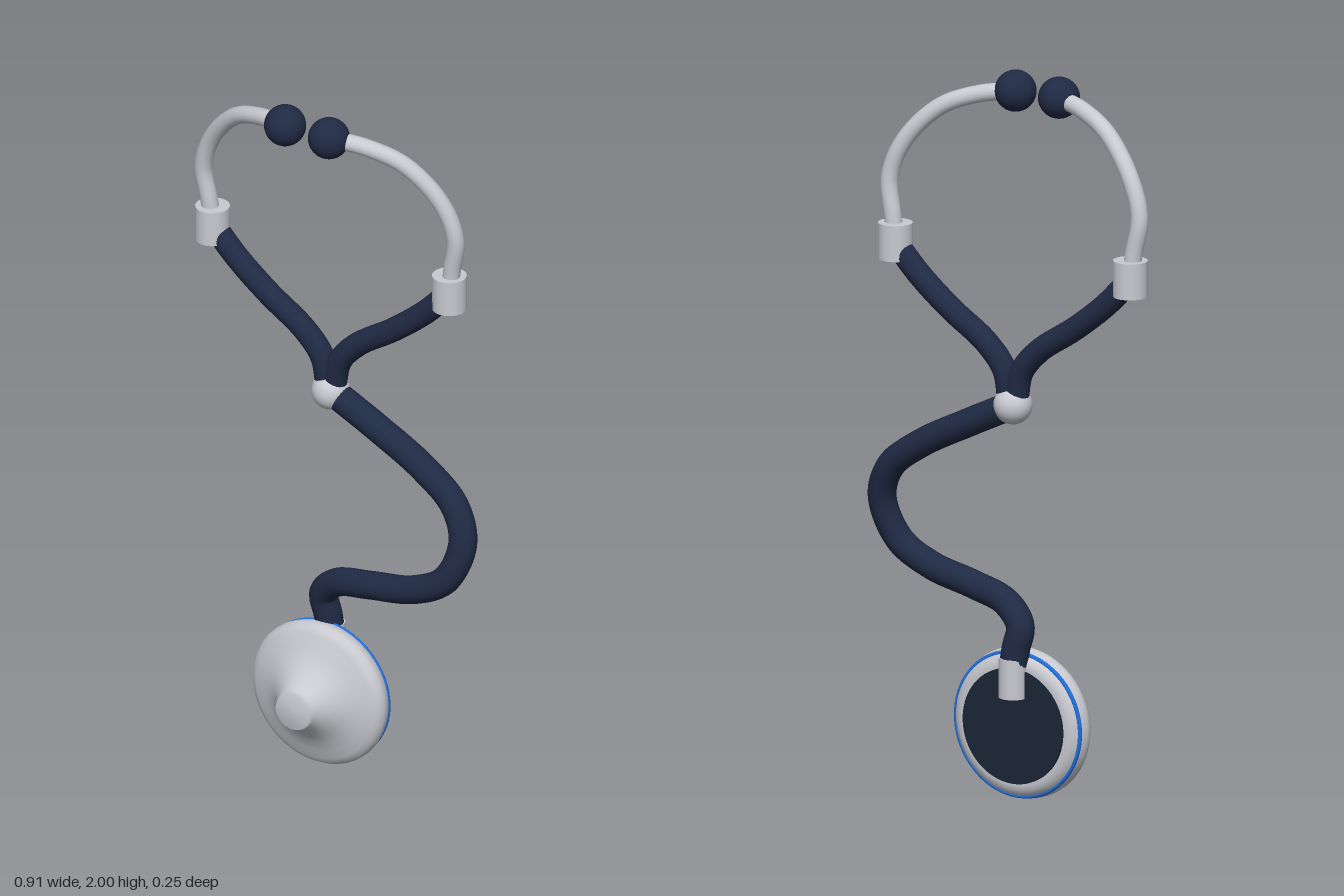
import * as THREE from 'three';

const CX = -0.03; // symmetry plane of the instrument
const BACK = -0.07; // depth of the collars and yoke

const mat = (name, color) => Object.assign(new THREE.MeshStandardMaterial({ color }), { name });

export function createModel() {
  const metal = mat('light metal', 0xc8cad0);
  const rubber = mat('navy rubber', 0x1f2a44);
  const membrane = mat('dark diaphragm', 0x1b2536);
  const blue = mat('blue ring', 0x1f6fe0);

  const model = new THREE.Group();
  model.name = 'stethoscope';

  const add = (name, geometry, material, x = 0, y = 0, z = 0) => {
    const mesh = new THREE.Mesh(geometry, material);
    mesh.name = name;
    mesh.position.set(x, y, z);
    model.add(mesh);
    return mesh;
  };
  const tube = (name, points, radius, material, segments = 64) => {
    const curve = new THREE.CatmullRomCurve3(points.map((p) => new THREE.Vector3(...p)));
    return add(name, new THREE.TubeGeometry(curve, segments, radius, 20), material);
  };

  // Mirrored headset: ear tip, metal ear tube, collar and rubber branch
  for (const [side, s] of [['left', 1], ['right', -1]]) {
    const at = (points) => points.map(([dx, y, z]) => [CX + s * dx, y, z]);
    add(`${side}EarTip`, new THREE.SphereGeometry(0.057, 32, 20), rubber, CX + s * 0.07, 1.943, 0.05);
    tube(`${side}EarTube`, at([
      [0.378, 1.51, -0.07], [0.388, 1.58, -0.068], [0.402, 1.68, -0.062], [0.363, 1.785, -0.05],
      [0.27, 1.885, -0.018], [0.17, 1.927, 0.017], [0.07, 1.943, 0.05],
    ]), 0.024, metal);
    add(`${side}Collar`, new THREE.CylinderGeometry(0.047, 0.047, 0.1, 32), metal, CX + s * 0.378, 1.51, BACK);
    tube(`${side}BranchTube`, at([
      [0.378, 1.505, BACK], [0.3, 1.425, BACK], [0.2, 1.345, BACK], [0.085, 1.267, BACK],
      [0.028, 1.2, BACK], [0.01, 1.11, BACK],
    ]), 0.033, rubber);
  }

  // Yoke where the branches meet
  add('yokeJoint', new THREE.SphereGeometry(0.053, 32, 20), metal, CX, 1.105, BACK);

  // Main tube winding down to the chest piece
  tube('mainTube', [
    [CX, 1.105, BACK], [0.115, 1.035, -0.069], [0.27, 0.955, -0.063], [0.375, 0.875, -0.053],
    [0.412, 0.78, -0.037], [0.37, 0.665, -0.017], [0.27, 0.607, -0.015], [0.125, 0.575, -0.026],
    [0.01, 0.545, -0.042], [-0.046, 0.49, -0.058], [-0.037, 0.43, -0.065], [CX, 0.38, -0.068],
  ], 0.039, rubber, 120);

  // Chest piece, turned around the z axis
  const CY = 0.212;
  const profile = [
    [0, -0.066], [0.165, -0.066], [0.18, -0.063], [0.193, -0.055], [0.203, -0.04], [0.209, -0.022],
    [0.208, -0.008], [0.2, 0.006], [0.185, 0.015], [0.155, 0.026], [0.125, 0.04], [0.1, 0.058],
    [0.08, 0.078], [0.066, 0.095], [0.058, 0.11], [0.053, 0.124], [0, 0.126],
  ].map(([r, z]) => new THREE.Vector2(r, z));
  add('chestPiece', new THREE.LatheGeometry(profile, 64).rotateX(Math.PI / 2), metal, CX, CY, 0);
  add('accentRing', new THREE.TorusGeometry(0.199, 0.006, 10, 72), blue, CX, CY, -0.045);
  add('diaphragm', new THREE.CylinderGeometry(0.16, 0.16, 0.008, 64).rotateX(Math.PI / 2), membrane, CX, CY, -0.069);

  // Metal stem joining the tube to the back of the chest piece
  add('stem', new THREE.CylinderGeometry(0.039, 0.039, 0.11, 32), metal, CX, 0.348, -0.07);

  return model;
}
